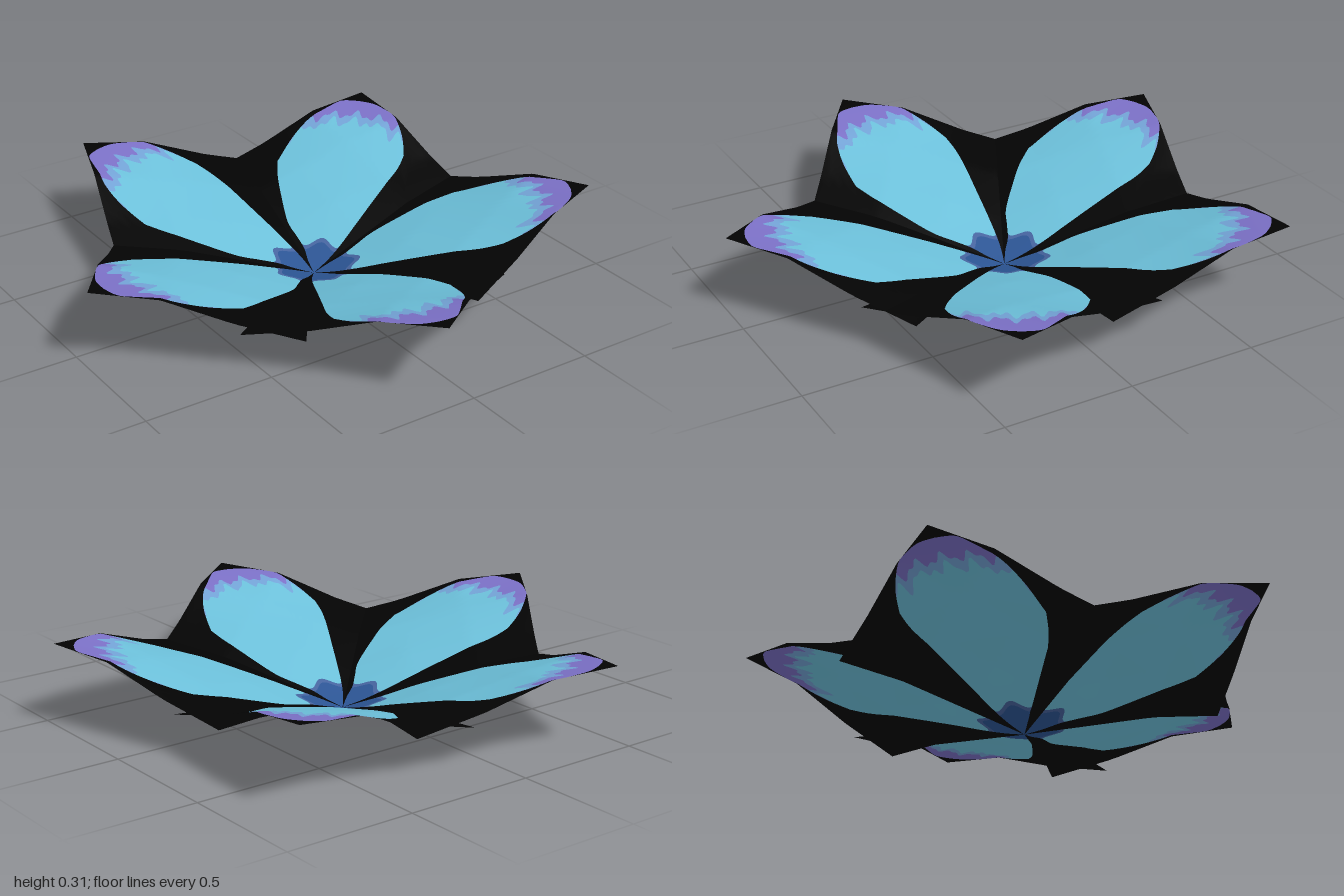
import * as THREE from 'three';

const R = 1.06; // centre to petal tip, along the sheet's diagonal

// Heights of one arched square sheet on a 4 x 4 grid, from the centre corner to the tip
const HEIGHTS = [
  [0, 0.055, 0.11, 0.135],
  [0.055, 0.125, 0.175, 0.2],
  [0.11, 0.175, 0.24, 0.288],
  [0.135, 0.2, 0.288, 0.312],
];

// Height at s (outward) and t (sideways)
function heightAt(s, t) {
  const a = THREE.MathUtils.clamp((s + t) / R, 0, 1) * 3;
  const b = THREE.MathUtils.clamp((s - t) / R, 0, 1) * 3;
  const i = Math.min(2, Math.floor(a)), j = Math.min(2, Math.floor(b));
  const u = a - i, v = b - j;
  return (HEIGHTS[i][j] * (1 - u) + HEIGHTS[i + 1][j] * u) * (1 - v)
    + (HEIGHTS[i][j + 1] * (1 - u) + HEIGHTS[i + 1][j + 1] * u) * v;
}

// Outlines of the painted petal as (|t|, s): narrow base, round tip, one side fuller
const spline = (pts) => new THREE.SplineCurve(pts.map(([t, s]) => new THREE.Vector2(t, s))).getPoints(80);
const fullSide = {
  width: 0.267,
  lower: spline([[0, 0], [0.035, 0.06], [0.062, 0.12], [0.105, 0.18], [0.155, 0.25], [0.207, 0.38],
    [0.245, 0.49], [0.267, 0.59]]),
  upper: spline([[0, 0.99], [0.07, 0.982], [0.115, 0.93], [0.15, 0.88], [0.195, 0.82], [0.237, 0.72], [0.267, 0.59]]),
};
const slimSide = {
  width: 0.242,
  lower: spline([[0, 0], [0.04, 0.07], [0.075, 0.15], [0.115, 0.26], [0.15, 0.36], [0.197, 0.494],
    [0.23, 0.6], [0.242, 0.68]]),
  upper: spline([[0, 0.99], [0.06, 0.977], [0.11, 0.945], [0.169, 0.887], [0.218, 0.785], [0.242, 0.68]]),
};

function lookup(edge, t) {
  for (let i = 1; i < edge.length; i++) {
    const p = edge[i - 1], q = edge[i];
    if (t <= q.x) return THREE.MathUtils.lerp(p.y, q.y, (t - p.x) / Math.max(q.x - p.x, 1e-6));
  }
  return edge[edge.length - 1].y;
}

// Where the colours change along the column at t
function breaksAt(t) {
  const a = Math.abs(t), end = R - a;
  const side = t < 0 ? fullSide : slimSide;
  if (a > side.width + 1e-6) { const m = R / 2; return [a, m, m, m, m, m, m, end]; }
  const lo = Math.max(a, lookup(side.lower, a));
  const hi = Math.max(lo, Math.min(end, lookup(side.upper, a)));
  const jag = 0.022 * Math.sin(t * 62 + 1) + 0.014 * Math.sin(t * 137);
  const core = 0.135 + 0.022 * Math.cos(t * 50);
  const purple = 0.885 - 1.7 * a * a + jag;
  const band = purple - 0.05 + 0.014 * Math.sin(t * 90 + 2);
  const inside = [core, core + 0.022, band, purple].map((s) => THREE.MathUtils.clamp(s, lo, hi));
  return [a, lo, ...inside, hi, end];
}

// Columns are denser towards the sides of the painted petal
function columns() {
  const half = (width) => {
    const ts = [];
    for (let i = 1; i <= 44; i++) ts.push(width * Math.sin((i / 44) * Math.PI / 2));
    for (let i = 1; i <= 8; i++) ts.push(width + (R / 2 - width) * i / 8);
    return ts;
  };
  return [...half(fullSide.width).map((t) => -t).reverse(), 0, ...half(slimSide.width)];
}

// One strip of the sheet between two neighbouring colour breaks
function bandGeometry(band) {
  const pos = [], nor = [];
  const ts = columns();
  const cuts = ts.map((t) => breaksAt(t));
  const length = (c) => c[band + 1] - c[band];
  const n = Math.ceil(Math.max(...cuts.map(length)) / 0.06);
  const e = 0.02;
  const put = (s, t) => {
    pos.push(s, heightAt(s, t), t);
    const v = new THREE.Vector3(heightAt(s - e, t) - heightAt(s + e, t), 2 * e,
      heightAt(s, t - e) - heightAt(s, t + e)).normalize();
    nor.push(v.x, v.y, v.z);
  };
  for (let c = 1; c < ts.length; c++) {
    const t0 = ts[c - 1], t1 = ts[c], p = cuts[c - 1], q = cuts[c];
    const lenP = length(p), lenQ = length(q);
    for (let k = 0; k < n; k++) {
      const p0 = p[band] + lenP * k / n, p1 = p[band] + lenP * (k + 1) / n;
      const q0 = q[band] + lenQ * k / n, q1 = q[band] + lenQ * (k + 1) / n;
      if (lenQ > 1e-6) { put(p0, t0); put(q0, t1); put(q1, t1); }
      if (lenP > 1e-6) { put(p0, t0); put(q1, t1); put(p1, t0); }
    }
  }
  const g = new THREE.BufferGeometry();
  g.setAttribute('position', new THREE.Float32BufferAttribute(pos, 3));
  g.setAttribute('normal', new THREE.Float32BufferAttribute(nor, 3));
  return g;
}

export function createModel() {
  const material = (name, color) => {
    const m = new THREE.MeshStandardMaterial({ color, side: THREE.DoubleSide });
    m.name = name;
    return m;
  };
  const black = material('black', 0x030303);
  const navy = material('deep blue', 0x2c5594);
  const slate = material('slate blue', 0x46649f);
  const aqua = material('aqua', 0x6cc0da);
  const periwinkle = material('periwinkle', 0x73a3d6);
  const violet = material('violet', 0x7b70c6);

  // Colour bands of one sheet, from the centre outwards
  const parts = [
    ['innerBorder', black], ['petalHeart', navy], ['heartRim', slate], ['petalBlade', aqua],
    ['tipBlend', periwinkle], ['petalTip', violet], ['outerBorder', black],
  ].map(([name, mat], i) => ({ name, mat, geometry: bandGeometry(i) }));

  const flower = new THREE.Group();
  flower.name = 'flower';
  // Five overlapping sheets around the centre
  for (let k = 0; k < 5; k++) {
    const petal = new THREE.Group();
    petal.name = `petal${k + 1}`;
    for (const { name, mat, geometry } of parts) {
      const mesh = new THREE.Mesh(geometry, mat);
      mesh.name = name;
      petal.add(mesh);
    }
    petal.position.set(0.05, 0, -0.05);
    petal.rotation.y = -THREE.MathUtils.degToRad(27.1 + 72 * k);
    flower.add(petal);
  }
  return flower;
}
